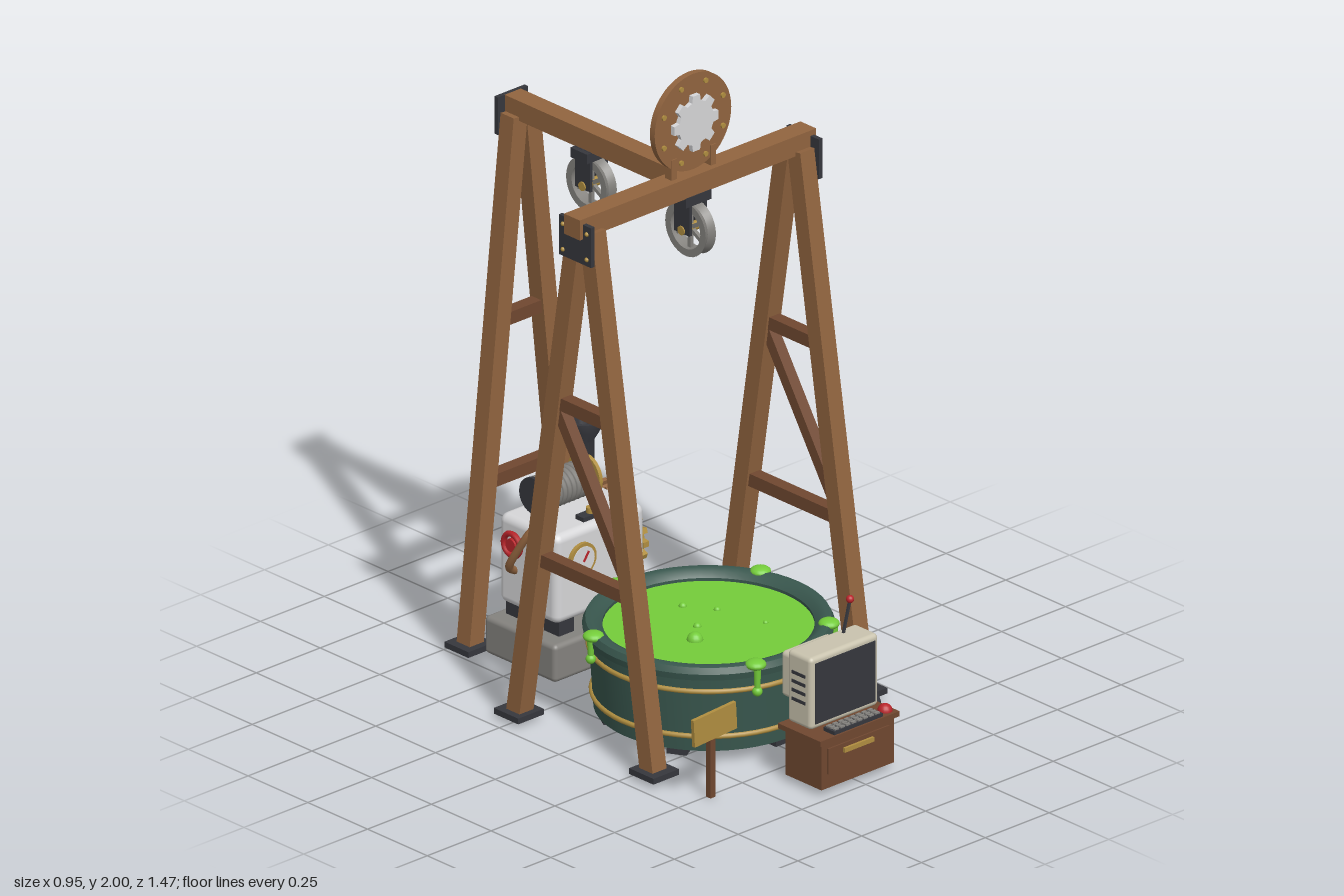
import * as THREE from 'three';
import { toCreasedNormals } from 'three/addons/utils/BufferGeometryUtils.js';
import { RoundedBoxGeometry } from 'three/addons/geometries/RoundedBoxGeometry.js';

const V = (x, y, z) => new THREE.Vector3(x, y, z);
const material = (name, color) => new THREE.MeshStandardMaterial({ name, color });

export function createModel() {
  const root = new THREE.Group();
  const M = {
    wood: material('wood and copper', 0x91643f),
    darkWood: material('dark wood', 0x704830),
    iron: material('dark iron', 0x36373d),
    vat: material('vat green', 0x39574e),
    goo: material('goo', 0x74cc3a),
    brass: material('brass', 0xb08e40),
    grey: material('grey metal', 0x84827e),
    cream: material('cream plastic', 0xc9c3ae),
    white: material('white enamel', 0xd6d6d8),
    red: material('red', 0xb8242a),
  };
  const C = -0.008; // centre plane of the gantry
  const ZC = 0.025; // front beam depth

  // Helpers: every part is named and added to a parent
  const add = (name, geo, mat, pos = V(0, 0, 0), parent = root) => {
    const m = new THREE.Mesh(geo, mat);
    m.name = name;
    m.position.copy(pos);
    parent.add(m);
    return m;
  };
  const group = (name, pos = V(0, 0, 0), parent = root) => {
    const g = new THREE.Group();
    g.name = name;
    g.position.copy(pos);
    parent.add(g);
    return g;
  };
  const box = (name, mat, w, h, d, x, y, z, parent) =>
    add(name, new THREE.BoxGeometry(w, h, d), mat, V(x, y, z), parent);
  const rounded = (name, mat, w, h, d, r, x, y, z, parent) =>
    add(name, new RoundedBoxGeometry(w, h, d, 3, r), mat, V(x, y, z), parent);
  const cyl = (name, mat, r1, r2, h, pos, axis = 'y', parent, sides = 24) => {
    const m = add(name, new THREE.CylinderGeometry(r1, r2, h, sides), mat, pos, parent);
    if (axis === 'x') m.rotation.z = Math.PI / 2;
    if (axis === 'z') m.rotation.x = Math.PI / 2;
    return m;
  };
  const ball = (name, mat, r, x, y, z, parent) =>
    add(name, new THREE.SphereGeometry(r, 16, 12), mat, V(x, y, z), parent);
  const bar = (name, mat, a, b, w, d, parent) => {
    const dir = b.clone().sub(a);
    const m = add(name, new THREE.BoxGeometry(w, dir.length(), d), mat, a.clone().lerp(b, 0.5), parent);
    m.quaternion.setFromUnitVectors(V(0, 1, 0), dir.normalize());
    return m;
  };
  const tube = (name, mat, pts, r, parent) =>
    add(name, new THREE.TubeGeometry(new THREE.CatmullRomCurve3(pts), 48, r, 10), mat, undefined, parent);
  const gear = (name, mat, teeth, rOut, rIn, t, pos, parent) => {
    const s = new THREE.Shape();
    for (let i = 0; i < teeth; i++) {
      [[-0.32, rIn], [-0.2, rOut], [0.2, rOut], [0.32, rIn]].forEach(([f, r], k) => {
        const a = ((i + f) / teeth) * Math.PI * 2;
        s[i + k ? 'lineTo' : 'moveTo'](Math.cos(a) * r, Math.sin(a) * r);
      });
    }
    const geo = new THREE.ExtrudeGeometry(s, { depth: t, bevelEnabled: false }).translate(0, 0, -t / 2);
    return add(name, geo, mat, pos, parent);
  };

  // A-frame in its own plane: legs spread along local x
  const aFrame = (name, spread, pos, turn, brace) => {
    const g = group(name, pos);
    g.rotation.y = turn;
    const at = (y) => spread + (0.025 - spread) * (y / 1.63);
    for (const s of [-1, 1]) {
      bar('leg', M.wood, V(s * spread, 0.005, 0), V(s * 0.025, 1.64, 0), 0.055, 0.055, g);
      box('footPlate', M.iron, 0.102, 0.018, 0.1, s * spread, 0.024, 0, g);
    }
    for (const y of brace ? [0.54, 1.06] : [0.52, 1.013]) {
      box('crossbar', M.darkWood, at(y) * 2, 0.04, 0.04, 0, y, 0, g);
    }
    if (brace) bar('diagonalBrace', M.darkWood, V(-at(0.56), 0.56, 0), V(at(1.05), 1.05, 0), 0.036, 0.036, g);
  };
  for (const s of [-1, 1]) {
    aFrame('sideFrame', 0.283, V(C + s * 0.408, 0, ZC), Math.PI / 2, true);
    box('jointPlate', M.iron, 0.014, 0.125, 0.135, C + s * 0.446, 1.612, ZC);
    for (const y of [1.57, 1.65]) for (const z of [-0.05, 0.05])
      ball('jointBolt', M.brass, 0.007, C + s * 0.453, y, ZC + z);
  }
  aFrame('backFrame', 0.2, V(C, 0, -0.687), 0, false);
  box('crossBeam', M.wood, 0.926, 0.063, 0.066, C - 0.002, 1.66, ZC);
  box('backBeam', M.wood, 0.063, 0.062, 0.73, C, 1.66, -0.355);
  box('backPlate', M.iron, 0.118, 0.118, 0.014, C, 1.632, -0.726);

  // Pulleys under the beams
  for (const z of [ZC, -0.39]) {
    const g = group('pulley', V(C, 1.515, z));
    box('pulleyMount', M.iron, 0.1, 0.03, 0.07, 0, 0.1, 0, g);
    for (const s of [-1, 1]) box('pulleyStrap', M.iron, 0.01, 0.125, 0.064, s * 0.03, 0.053, 0, g);
    const rim = new THREE.LatheGeometry([[0.062, -0.02], [0.085, -0.02], [0.072, 0], [0.085, 0.02], [0.062, 0.02], [0.062, -0.02]]
      .map(([x, y]) => new THREE.Vector2(x, y)), 32);
    add('pulleyRim', toCreasedNormals(rim, 0.5), M.grey, undefined, g).rotation.z = Math.PI / 2;
    for (let i = 0; i < 3; i++) box('pulleySpokes', M.grey, 0.012, 0.13, 0.012, 0, 0, 0, g).rotation.x = (i * Math.PI) / 3;
    cyl('pulleyHub', M.brass, 0.014, 0.014, 0.078, V(0, 0, 0), 'x', g);
  }

  // Emblem wheel standing on the beam
  const wheel = group('topWheel', V(C, 1.85, ZC));
  cyl('wheelDisc', M.wood, 0.15, 0.15, 0.02, V(0, 0, 0), 'z', wheel, 48);
  gear('wheelGear', M.white, 8, 0.088, 0.068, 0.05, V(0, 0, 0), wheel);
  for (let i = 0; i < 8; i++) {
    const a = ((i + 0.5) * Math.PI) / 4;
    cyl('wheelRivet', M.brass, 0.008, 0.008, 0.032, V(Math.cos(a) * 0.125, Math.sin(a) * 0.125, 0), 'z', wheel, 10);
  }
  for (const s of [-1, 1]) box('wheelPost', M.wood, 0.02, 0.07, 0.028, s * 0.077, -0.13, 0, wheel);

  // Vat with bands, feet and goo
  const vat = group('vat', V(C, 0, 0.1));
  const profile = [[0, 0.042], [0.33, 0.042], [0.345, 0.272], [0.358, 0.276], [0.362, 0.296], [0.353, 0.314],
    [0.335, 0.317], [0.318, 0.31], [0.304, 0.296], [0.304, 0.26]].map(([x, y]) => new THREE.Vector2(x, y));
  add('vatShell', toCreasedNormals(new THREE.LatheGeometry(profile, 56), 0.6), M.vat, undefined, vat);
  for (const [y, r] of [[0.09, 0.335], [0.235, 0.344]])
    add('vatBand', new THREE.TorusGeometry(r, 0.008, 8, 56).rotateX(Math.PI / 2), M.brass, V(0, y, 0), vat);
  for (let i = 0; i < 6; i++) {
    const a = (i * Math.PI) / 3;
    box('vatFoot', M.iron, 0.06, 0.03, 0.05, Math.sin(a) * 0.29, 0.033, Math.cos(a) * 0.29, vat).rotation.y = a;
  }
  cyl('gooSurface', M.goo, 0.306, 0.306, 0.02, V(0, 0.277, 0), 'y', vat, 56);
  for (const [x, z, r] of [[-0.097, 0.047, 0.024], [0.035, -0.145, 0.012], [-0.03, -0.015, 0.012], [0.09, -0.06, 0.01], [0.13, 0.1, 0.008]])
    ball('bubble', M.goo, r, x, 0.287, z, vat);
  // x, z and length of each spill over the rim
  for (const [x, z, len] of [[-0.035, -0.345, 0.05], [-0.329, -0.13, 0.07], [0.325, -0.13, 0.09], [-0.122, 0.328, 0.08], [0.223, 0.266, 0.13]]) {
    ball('gooSpill', M.goo, 0.031, x, 0.312, z, vat).scale.y = 0.5;
    const k = 0.362 / Math.hypot(x, z);
    cyl('gooDrip', M.goo, 0.012, 0.008, len, V(x * k, 0.312 - len / 2, z * k), 'y', vat, 10);
    ball('gooDrop', M.goo, 0.015, x * k, 0.312 - len, z * k, vat);
  }

  // Winch engine
  const engine = group('engine', V(C, 0, -0.472));
  rounded('enginePlinth', M.grey, 0.412, 0.118, 0.298, 0.015, 0, 0.082, 0, engine);
  for (const x of [-0.12, 0.12]) for (const z of [-0.085, 0.075])
    box('engineMount', M.iron, 0.06, 0.055, 0.062, x, 0.163, z, engine);
  rounded('engineBody', M.white, 0.35, 0.28, 0.246, 0.025, 0, 0.325, 0, engine);
  gear('driveGear', M.brass, 16, 0.107, 0.088, 0.022, V(0.19, 0.325, 0.002), engine).rotation.y = Math.PI / 2;
  cyl('driveHub', M.iron, 0.015, 0.015, 0.04, V(0.19, 0.325, 0.002), 'x', engine);
  gear('pinionGear', M.wood, 10, 0.05, 0.037, 0.022, V(0.195, 0.42, -0.09), engine).rotation.y = Math.PI / 2;
  cyl('pinionHub', M.iron, 0.01, 0.01, 0.04, V(0.195, 0.42, -0.09), 'x', engine);
  // Cable drum and funnel stack
  cyl('drum', M.iron, 0.044, 0.044, 0.19, V(-0.01, 0.522, -0.043), 'x', engine);
  for (let i = 0; i < 9; i++)
    add('cableCoil', new THREE.TorusGeometry(0.046, 0.009, 8, 24).rotateY(Math.PI / 2), M.grey, V(-0.085 + i * 0.018, 0.522, -0.043), engine);
  cyl('drumFlangeLeft', M.brass, 0.068, 0.068, 0.012, V(0.092, 0.525, -0.043), 'x', engine, 32);
  cyl('drumFlangeRight', M.iron, 0.056, 0.056, 0.012, V(-0.108, 0.522, -0.043), 'x', engine, 32);
  const stack = [[0.03, 0.45], [0.03, 0.63], [0.05, 0.665], [0.05, 0.692], [0.038, 0.692], [0.022, 0.62], [0, 0.62]];
  add('funnelStack', toCreasedNormals(new THREE.LatheGeometry(stack.map(([x, y]) => new THREE.Vector2(x, y)), 24), 0.6),
    M.iron, V(0.103, 0, -0.06), engine);
  box('fillerBlock', M.iron, 0.09, 0.016, 0.035, 0, 0.47, 0.08, engine);
  cyl('fillerCap', M.brass, 0.014, 0.014, 0.025, V(0, 0.482, 0.08), 'y', engine);
  // Front gauges
  for (const x of [-0.08, 0.08]) {
    cyl('gaugeRing', M.brass, 0.052, 0.052, 0.016, V(x, 0.37, 0.126), 'z', engine);
    cyl('gaugeFace', M.white, 0.042, 0.042, 0.005, V(x, 0.37, 0.134), 'z', engine);
    box('gaugeNeedle', M.red, 0.007, 0.035, 0.004, x + 0.008, 0.38, 0.137, engine).rotation.z = -0.6;
  }
  // Side pipe and red valve
  tube('sidePipe', M.wood, [V(-0.11, 0.45, 0.04), V(-0.13, 0.478, 0.04), V(-0.185, 0.465, 0.035), V(-0.208, 0.4, 0.0),
    V(-0.208, 0.33, -0.04), V(-0.165, 0.3, -0.055)], 0.012, engine);
  add('valveWheel', new THREE.TorusGeometry(0.034, 0.009, 8, 24).rotateY(Math.PI / 2), M.red, V(-0.188, 0.39, -0.05), engine);
  cyl('valveHub', M.red, 0.02, 0.02, 0.03, V(-0.18, 0.39, -0.05), 'x', engine);

  // Hose from engine to console
  tube('hose', M.iron, [V(0.16, 0.2, -0.42), V(0.21, 0.19, -0.42), V(0.245, 0.06, -0.385), V(0.32, 0.028, -0.31), V(0.43, 0.028, -0.13),
    V(0.465, 0.028, 0.04), V(0.44, 0.028, 0.26), V(0.34, 0.028, 0.43), V(0.1, 0.035, 0.545), V(0.04, 0.05, 0.6)], 0.014);

  // Console desk
  const desk = group('console', V(C, 0, 0.645));
  box('deskBody', M.darkWood, 0.285, 0.145, 0.15, 0, 0.093, 0.005, desk);
  box('deskTop', M.darkWood, 0.31, 0.016, 0.178, 0, 0.172, 0, desk);
  box('drawer', M.darkWood, 0.24, 0.08, 0.008, 0, 0.105, 0.081, desk);
  box('drawerHandle', M.brass, 0.115, 0.014, 0.012, -0.005, 0.125, 0.087, desk);
  rounded('monitor', M.cream, 0.268, 0.226, 0.1, 0.014, 0, 0.298, -0.024, desk);
  rounded('monitorBack', M.cream, 0.185, 0.142, 0.085, 0.014, 0, 0.3, -0.103, desk);
  box('screen', M.iron, 0.234, 0.19, 0.008, 0, 0.298, 0.025, desk);
  for (const s of [-1, 1]) for (let i = 0; i < 4; i++)
    box('ventSlot', M.iron, 0.006, 0.01, 0.055, s * 0.133, 0.265 + i * 0.028, -0.024, desk);
  box('keyboard', M.iron, 0.19, 0.014, 0.046, 0, 0.184, 0.06, desk);
  for (let r = 0; r < 3; r++) for (let i = 0; i < 8; i++)
    box('key', M.grey, 0.016, 0.006, 0.009, -0.08 + i * 0.0228, 0.193, 0.046 + r * 0.014, desk);
  ball('redButton', M.red, 0.022, 0.128, 0.18, 0.057, desk);
  bar('antenna', M.iron, V(0.06, 0.405, -0.046), V(0.093, 0.505, -0.052), 0.007, 0.007, desk);
  ball('antennaTip', M.red, 0.012, 0.093, 0.505, -0.052, desk);

  // Blank sign on a stake
  const sign = group('sign', V(-0.383, 0, 0.517));
  box('signStake', M.darkWood, 0.02, 0.235, 0.018, 0, 0.12, -0.006, sign);
  box('signBoard', M.brass, 0.166, 0.085, 0.012, 0, 0.235, 0.007, sign).rotation.z = 0.06;
  return root;
}
